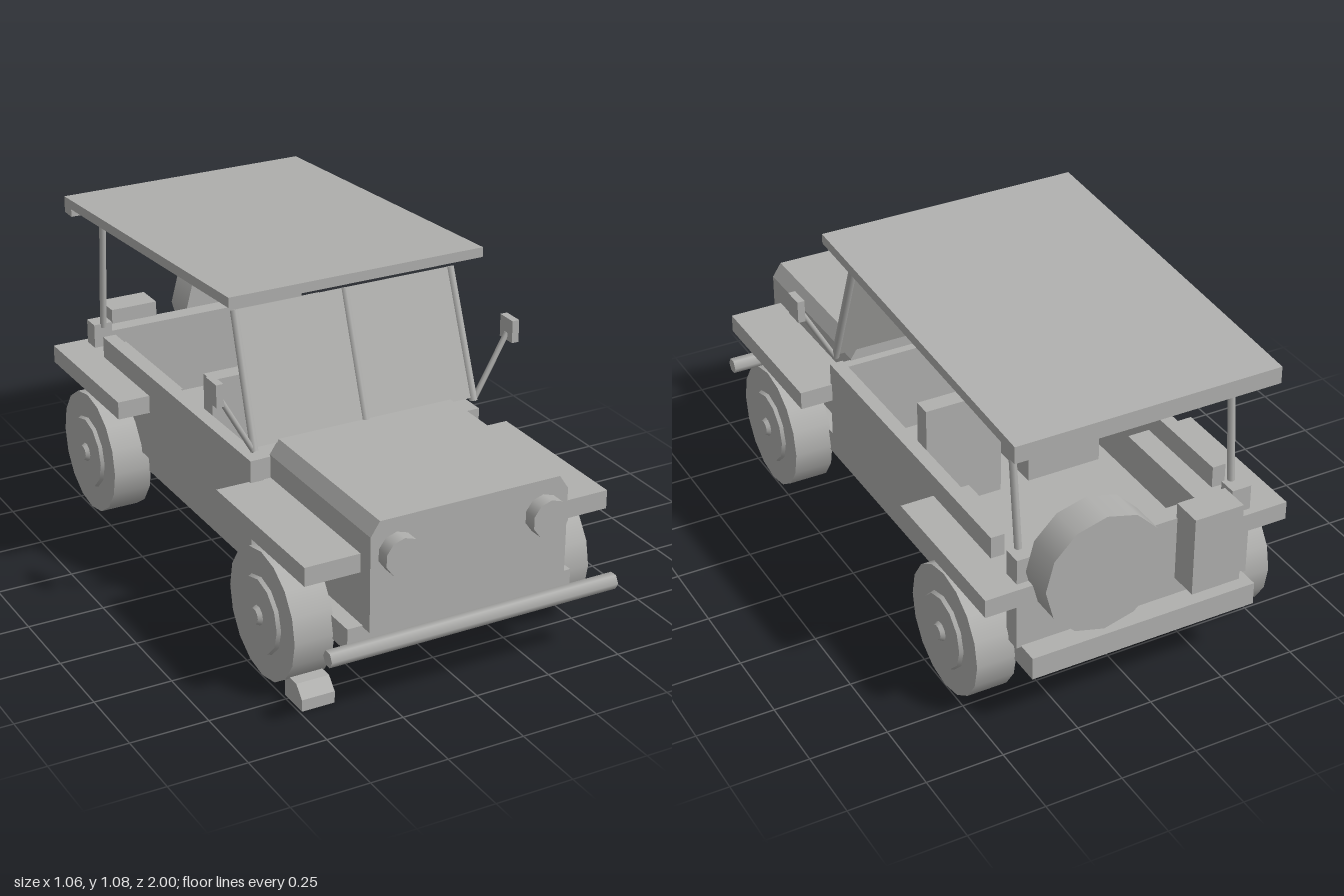
import * as THREE from 'three';

export function createModel() {
  const model = new THREE.Group();
  model.name = 'offRoadCar';
  const gray = new THREE.MeshStandardMaterial({ color: 0xb0b0ae });
  gray.name = 'plain gray';

  const add = (name, geometry, parent = model) => {
    const mesh = new THREE.Mesh(geometry, gray);
    mesh.name = name;
    parent.add(mesh);
    return mesh;
  };
  // Box given by its limits on each axis
  const box = (name, x0, x1, y0, y1, z0, z1) => {
    const mesh = add(name, new THREE.BoxGeometry(Math.abs(x1 - x0), y1 - y0, z1 - z0));
    mesh.position.set((x0 + x1) / 2, (y0 + y1) / 2, (z0 + z1) / 2);
    return mesh;
  };
  // Straight rod between two points
  const rod = (name, from, to, radius, sides = 8) => {
    const a = new THREE.Vector3(...from), b = new THREE.Vector3(...to);
    const dir = b.clone().sub(a);
    const mesh = add(name, new THREE.CylinderGeometry(radius, radius, dir.length(), sides));
    mesh.position.copy(a).add(b).multiplyScalar(0.5);
    mesh.quaternion.setFromUnitVectors(new THREE.Vector3(0, 1, 0), dir.normalize());
    return mesh;
  };
  const extrude = (points, depth) => new THREE.ExtrudeGeometry(
    new THREE.Shape(points.map(p => new THREE.Vector2(...p))), { depth, bevelEnabled: false });

  // Chassis and hood with chamfered upper edges
  box('chassis', -0.38, 0.38, 0.2, 0.275, -0.955, 0.9);
  add('hood', extrude([[-0.33, 0.27], [0.33, 0.27], [0.33, 0.575], [0.3, 0.62],
    [-0.3, 0.62], [-0.33, 0.575]], 0.61)).position.z = 0.33;

  // Open tub
  box('firewall', -0.36, 0.36, 0.27, 0.57, 0.3, 0.335);
  box('tailgate', -0.39, 0.39, 0.27, 0.55, -0.885, -0.825);

  // Roof, tilted down to the back, with lip and cross bars
  add('roof', extrude([[-0.28, 1.05], [0.94, 0.98], [0.94, 1.012], [-0.28, 1.082]], 0.87)
    .translate(0, 0, -0.435).rotateY(Math.PI / 2));
  box('roofLip', -0.435, 0.435, 0.957, 1.0, -0.94, -0.885);
  for (const [z, y] of [[0.025, 1.022], [-0.325, 1.003], [-0.68, 0.985]])
    rod('roofBar', [-0.385, y, z], [0.385, y, z], 0.018, 4);

  // Windscreen glass and centre pillar
  const glass = add('windscreen', new THREE.BoxGeometry(0.75, 0.415, 0.008));
  glass.position.set(0, 0.805, 0.26);
  glass.rotation.x = -Math.atan2(0.14, 0.39);
  rod('centrePillar', [0, 0.61, 0.33], [0, 1.0, 0.19], 0.013);

  // Wheels with rim and hub, outward along +x before turning
  const wheel = (s, z) => {
    const group = new THREE.Group();
    group.name = 'wheel';
    const disc = (name, r0, r1, x0, x1, sides) => add(name,
      new THREE.CylinderGeometry(r1, r0, x1 - x0, sides)
        .rotateZ(-Math.PI / 2).translate((x0 + x1) / 2, 0, 0), group);
    disc('tyre', 0.206, 0.206, 0.375, 0.505, 16);
    disc('rim', 0.125, 0.118, 0.5, 0.517, 12);
    disc('hub', 0.036, 0.024, 0.51, 0.53, 10);
    group.position.set(0, 0.215, z);
    if (s < 0) group.rotation.y = Math.PI;
    model.add(group);
  };

  // Parts mirrored on both sides
  for (const s of [1, -1]) {
    box('sideWall', s * 0.355, s * 0.4, 0.27, 0.572, -0.74, 0.34);
    box('frontFender', s * 0.3, s * 0.51, 0.44, 0.5, 0.33, 0.885);
    box('rearFender', s * 0.28, s * 0.51, 0.44, 0.5, -0.91, -0.38);
    box('rearPostBase', s * 0.33, s * 0.395, 0.27, 0.582, -0.885, -0.825);
    rod('rearPost', [s * 0.36, 0.57, -0.83], [s * 0.365, 1.0, -0.787], 0.012);
    rod('windscreenPillar', [s * 0.383, 0.6, 0.333], [s * 0.373, 1.0, 0.19], 0.013);
    rod('mirrorArm', [s * 0.385, 0.6, 0.33], [s * 0.5, 0.805, 0.33], 0.009);
    box('mirror', s * 0.497, s * 0.521, 0.782, 0.855, 0.295, 0.365);
    box('seatBack', s * 0.05, s * 0.31, 0.35, 0.645, -0.16, -0.1);
    box('seatCushion', s * 0.05, s * 0.31, 0.27, 0.38, -0.16, 0.1);
    rod('headlight', [s * 0.245, 0.513, 0.93], [s * 0.245, 0.513, 0.985], 0.061, 10);
    wheel(s, 0.61);
    wheel(s, -0.645);
  }

  // Bumper, spare wheel and fuel can
  rod('frontBumper', [-0.485, 0.246, 0.975], [0.485, 0.246, 0.975], 0.026, 6);
  rod('spareWheel', [0.17, 0.535, -0.885], [0.17, 0.535, -1.0], 0.196, 12);
  box('fuelCan', -0.305, -0.14, 0.335, 0.6, -0.98, -0.88);

  // Wheel chock with a sloped front edge
  add('wheelChock', extrude([[-0.835, 0], [-0.73, 0], [-0.73, 0.075], [-0.8, 0.075],
    [-0.835, 0.038]], 0.108).rotateY(Math.PI / 2).translate(-0.492, 0, 0));

  return model;
}
